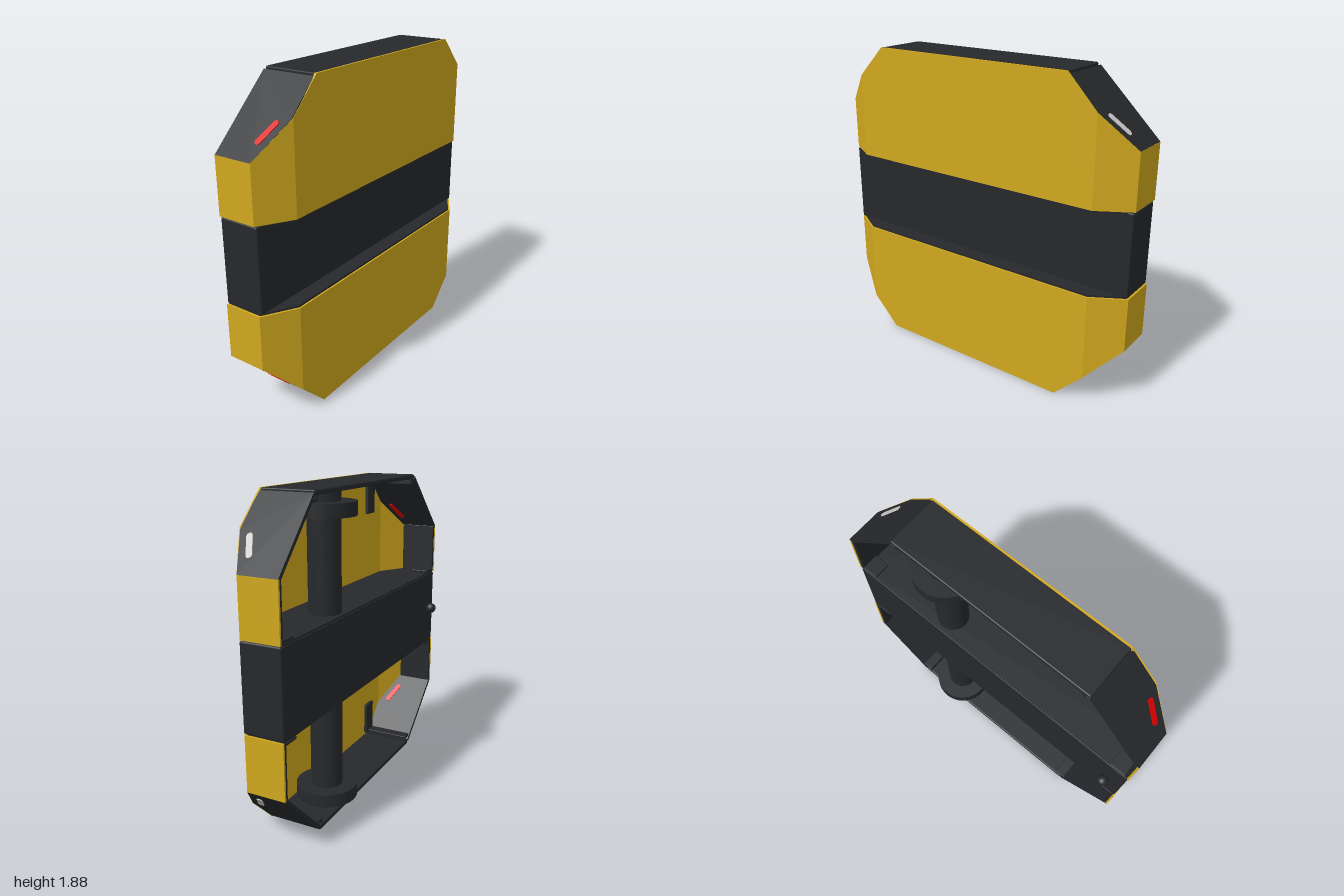
import * as THREE from 'three';
import { RoundedBoxGeometry } from 'three/addons/geometries/RoundedBoxGeometry.js';

const mat = (color) => new THREE.MeshStandardMaterial({ color });
const yellow = mat(0xd0a81e), black = mat(0x26282b), red = mat(0xdd0000), grey = mat(0xcccccc);
yellow.flatShading = true;

function add(parent, name, geometry, material) {
  const mesh = new THREE.Mesh(geometry, material);
  mesh.name = name;
  parent.add(mesh);
  return mesh;
}

// Box given by its limits, with softly rounded edges
function box(parent, name, [x0, x1], [y0, y1], [z0, z1], r = 0.004) {
  const g = new RoundedBoxGeometry(x1 - x0, y1 - y0, z1 - z0, 2, r);
  g.translate((x0 + x1) / 2, (y0 + y1) / 2, (z0 + z1) / 2);
  return add(parent, name, g, black);
}

const polygon = (pts) => new THREE.Shape(pts.map(([x, y]) => new THREE.Vector2(x, y)));

// Bent sheet with chamfered sides and cut corners: one four-point section per column
function shellGeometry() {
  const right = [[0.63, 0.2, 0.94], [0.81, 0.2, 0.76], [1, 0.09, 0.57], [1, -0.14, 0.57]];
  const columns = [...right.map(([x, z, y]) => [-x, z, y]).reverse(), ...right];
  const t = 0.012, bottom = 0.25, pos = [], idx = [];
  for (const [x, z, top] of columns) {
    const xi = Math.abs(x) > 0.7 ? x - Math.sign(x) * t : x;
    const zi = z > 0 ? z - t : z;
    pos.push(x, top, z, x, bottom, z, xi, bottom, zi, xi, top, zi);
  }
  for (let c = 0; c < columns.length - 1; c++) {
    for (let k = 0; k < 4; k++) {
      const a = c * 4 + k, b = c * 4 + (k + 1) % 4;
      idx.push(a, b, b + 4, a, b + 4, a + 4);
    }
  }
  const e = (columns.length - 1) * 4;
  idx.push(0, 3, 2, 0, 2, 1, e, e + 1, e + 2, e, e + 2, e + 3);
  let g = new THREE.BufferGeometry();
  g.setAttribute('position', new THREE.Float32BufferAttribute(pos, 3));
  g.setIndex(idx);
  g = g.toNonIndexed();
  g.computeVertexNormals();
  return g;
}

// Lays a flat shape (distance down the diagonal, depth z) on a cut corner
function onCorner(shape, thickness, side) {
  const g = new THREE.ExtrudeGeometry(shape, { depth: thickness, bevelEnabled: false, curveSegments: 8 });
  g.translate(0, 0, -thickness / 2);
  const along = new THREE.Vector3(side, -1, 0).normalize();
  const depth = new THREE.Vector3(0, 0, 1);
  const m = new THREE.Matrix4().makeBasis(along, depth, along.clone().cross(depth));
  m.setPosition(side * 0.622, 0.932, 0);
  return g.applyMatrix4(m);
}

function slotShape(s, z, length, r, angle) {
  const shape = new THREE.Shape();
  const dx = Math.cos(angle) * length / 2, dz = Math.sin(angle) * length / 2;
  shape.absarc(s + dx, z + dz, r, angle - Math.PI / 2, angle + Math.PI / 2);
  shape.absarc(s - dx, z - dz, r, angle + Math.PI / 2, angle + Math.PI * 1.5);
  return shape;
}

// Upper half, measured from the middle of the model; turned over for the lower half
function buildHalf(name, flipped) {
  const half = new THREE.Group();
  half.name = name;
  add(half, 'frontShell', shellGeometry(), yellow);

  // Closing ledge next to the centre band
  const ledge = new THREE.ExtrudeGeometry(polygon([
    [-0.985, 0.135], [0.985, 0.135], [0.985, -0.085], [0.805, -0.19], [-0.805, -0.19], [-0.985, -0.085],
  ]), { depth: 0.015, bevelEnabled: false });
  ledge.rotateX(-Math.PI / 2).translate(0, 0.238, 0);
  add(half, 'ledge', ledge, black);

  box(half, 'outerWall', [-0.63, 0.63], [0.912, 0.94], [-0.125, 0.192], 0.008);

  for (const side of [-1, 1]) {
    const span = (a, b) => (side > 0 ? [a, b] : [-b, -a]);

    // Angled corner plate with its reflector
    const plate = polygon([[0.018, -0.125], [0.523, -0.14], [0.523, 0.09], [0.262, 0.192], [0.018, 0.192]]);
    add(half, 'cornerPlate', onCorner(plate, 0.022, side), black);
    const reflector = slotShape(0.354, 0.095, 0.12, 0.017, -0.4);
    add(half, 'reflector', onCorner(reflector, 0.03, side), side * (flipped ? -1 : 1) > 0 ? grey : red);

    // Inner side lining and its foot
    box(half, 'sideLining', span(0.968, 0.99), [0.25, 0.57], [-0.138, 0.085]);
    box(half, 'sideFoot', span(0.87, 0.98), [0.256, 0.272], [-0.138, -0.03]);

    // Bracket at the end of the outer wall
    box(half, 'bracketLip', span(0.59, 0.66), [0.878, 0.896], [-0.12, 0.188]);
    box(half, 'bracketWeb', span(0.59, 0.608), [0.878, 0.925], [-0.12, 0.188]);
    box(half, 'bracketTab', span(0.56, 0.66), [0.68, 0.895], [0.166, 0.188]);
  }

  half.position.y = 0.94;
  if (flipped) half.rotation.z = Math.PI;
  return half;
}

export function createModel() {
  const model = new THREE.Group();
  model.name = 'panelUnit';
  model.add(buildHalf('upperHalf', false), buildHalf('lowerHalf', true));

  // Centre band
  box(model, 'centreBand', [-0.995, 0.995], [0.695, 1.185], [-0.14, 0.1], 0.01);

  // Vertical pole with a flange at each end
  const pole = add(model, 'pole', new THREE.CylinderGeometry(0.093, 0.093, 1.84, 40), black);
  pole.position.set(0.36, 0.94, -0.02);
  for (const side of [-1, 1]) {
    const flange = add(model, 'flange', new THREE.CylinderGeometry(0.18, 0.18, 0.076, 48), black);
    flange.position.set(0.36, 0.94 + side * 0.823, -0.02);
  }

  // Round knob on the back
  const knob = add(model, 'knob', new THREE.SphereGeometry(0.034, 24, 16), black);
  knob.position.set(-0.89, 0.945, -0.17);
  return model;
}
